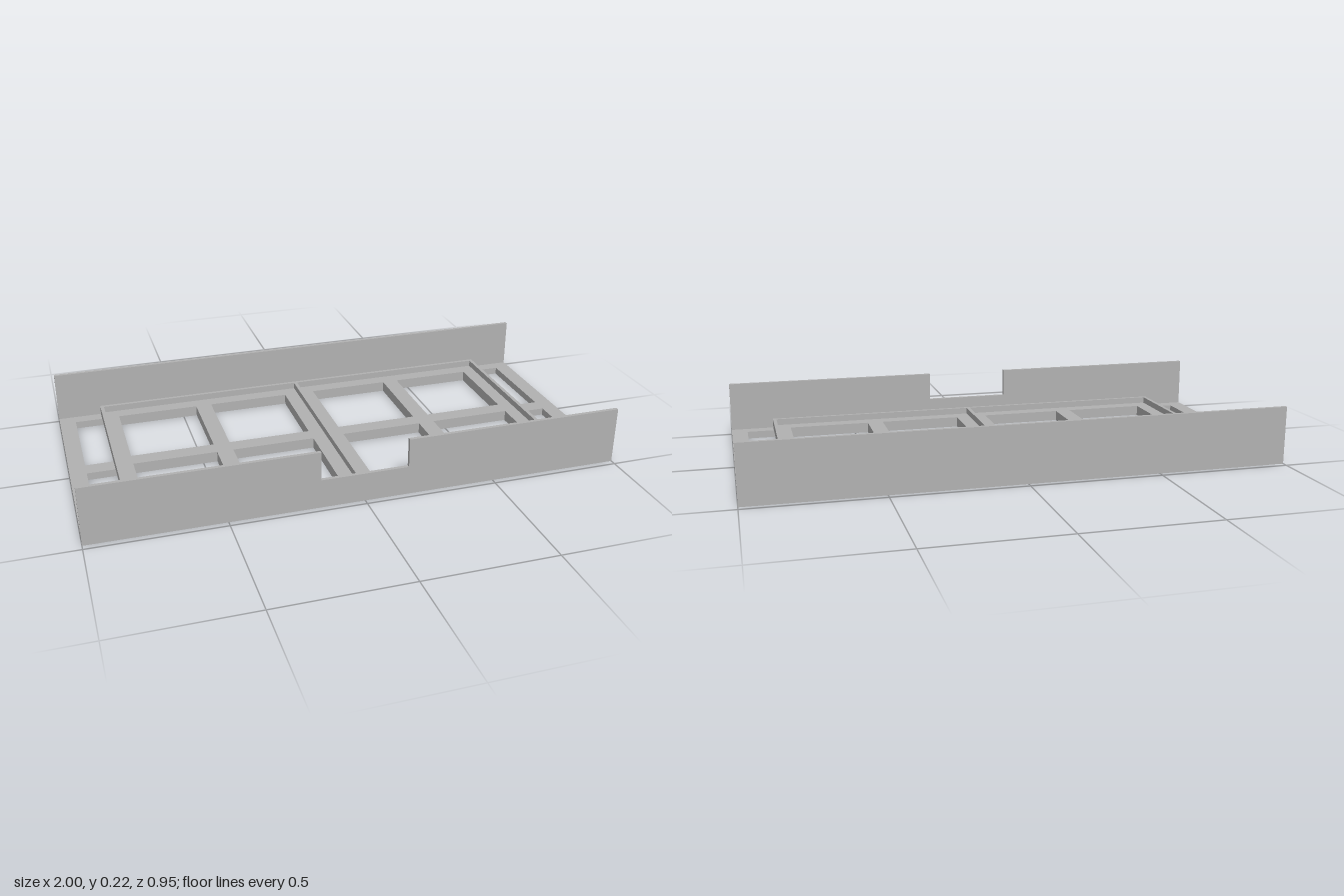
import * as THREE from 'three';

const WIDTH = 2, DEPTH = 0.954, WALL = 0.014;
const BASE_H = 0.028, WALL_H = 0.22, TRAY_TOP = 0.066;
const TRAY_X = 0.832, TRAY_Z = 0.459, FLOOR = 0.013;

// Window openings as [x0, x1, outer z], repeated on both sides of the middle rail
const trayWindows = [[0.062, 0.383, 0.39], [0.446, 0.765, 0.39]];
const endWindow = [0.828, 0.938, 0.414];
const RAIL = 0.0325;

function rectPoints(x0, x1, z0, z1) {
  return [[x0, z0], [x1, z0], [x1, z1], [x0, z1]].map(([x, z]) => new THREE.Vector2(x, z));
}

// Horizontal plate with mirrored rectangular openings
function plate(halfX, halfZ, y, height, windows) {
  const shape = new THREE.Shape(rectPoints(-halfX, halfX, -halfZ, halfZ));
  for (const [x0, x1, z] of windows) {
    for (const s of [-1, 1]) {
      const [a, b] = s > 0 ? [x0, x1] : [-x1, -x0];
      shape.holes.push(new THREE.Path(rectPoints(a, b, RAIL, z)));
      shape.holes.push(new THREE.Path(rectPoints(a, b, -z, -RAIL)));
    }
  }
  const geo = new THREE.ExtrudeGeometry(shape, { depth: height, bevelEnabled: false });
  geo.rotateX(-Math.PI / 2);
  geo.translate(0, y, 0);
  return geo;
}

export function createModel() {
  const model = new THREE.Group();
  model.name = 'slottedTray';
  const grey = new THREE.MeshStandardMaterial({ color: 0xb2b2b2 });
  grey.name = 'grey';

  function add(name, geometry, parent = model) {
    const mesh = new THREE.Mesh(geometry, grey);
    mesh.name = name;
    parent.add(mesh);
    return mesh;
  }

  // Base frame between the long walls
  add('baseFrame', plate(WIDTH / 2, DEPTH / 2 - WALL, 0, BASE_H, [...trayWindows, endWindow]));

  // Plain back wall
  const back = add('backWall', new THREE.BoxGeometry(WIDTH, WALL_H, WALL));
  back.position.set(0, WALL_H / 2, -DEPTH / 2 + WALL / 2);

  // Front wall with a central notch
  const NOTCH_X = 0.164, NOTCH_Y = 0.11;
  const outline = new THREE.Shape([
    [-1, 0], [1, 0], [1, WALL_H], [NOTCH_X, WALL_H], [NOTCH_X, NOTCH_Y],
    [-NOTCH_X, NOTCH_Y], [-NOTCH_X, WALL_H], [-1, WALL_H],
  ].map(([x, y]) => new THREE.Vector2(x, y)));
  const front = add('frontWall', new THREE.ExtrudeGeometry(outline, { depth: WALL, bevelEnabled: false }));
  front.position.z = DEPTH / 2 - WALL;

  // Raised inner tray: floor, rim and divider
  const tray = new THREE.Group();
  tray.name = 'innerTray';
  model.add(tray);
  add('trayFloor', plate(TRAY_X, TRAY_Z, BASE_H, FLOOR, trayWindows), tray);

  const rimY = BASE_H + FLOOR, rimH = TRAY_TOP - rimY;
  const rim = new THREE.Shape(rectPoints(-TRAY_X, TRAY_X, -TRAY_Z, TRAY_Z));
  const inX = TRAY_X - WALL, inZ = TRAY_Z - WALL;
  for (const s of [-1, 1]) {
    const [a, b] = s > 0 ? [WALL / 2, inX] : [-inX, -WALL / 2];
    rim.holes.push(new THREE.Path(rectPoints(a, b, -inZ, inZ)));
  }
  const rimGeo = new THREE.ExtrudeGeometry(rim, { depth: rimH, bevelEnabled: false });
  rimGeo.rotateX(-Math.PI / 2);
  add('trayRimAndDivider', rimGeo, tray).position.y = rimY;

  return model;
}
